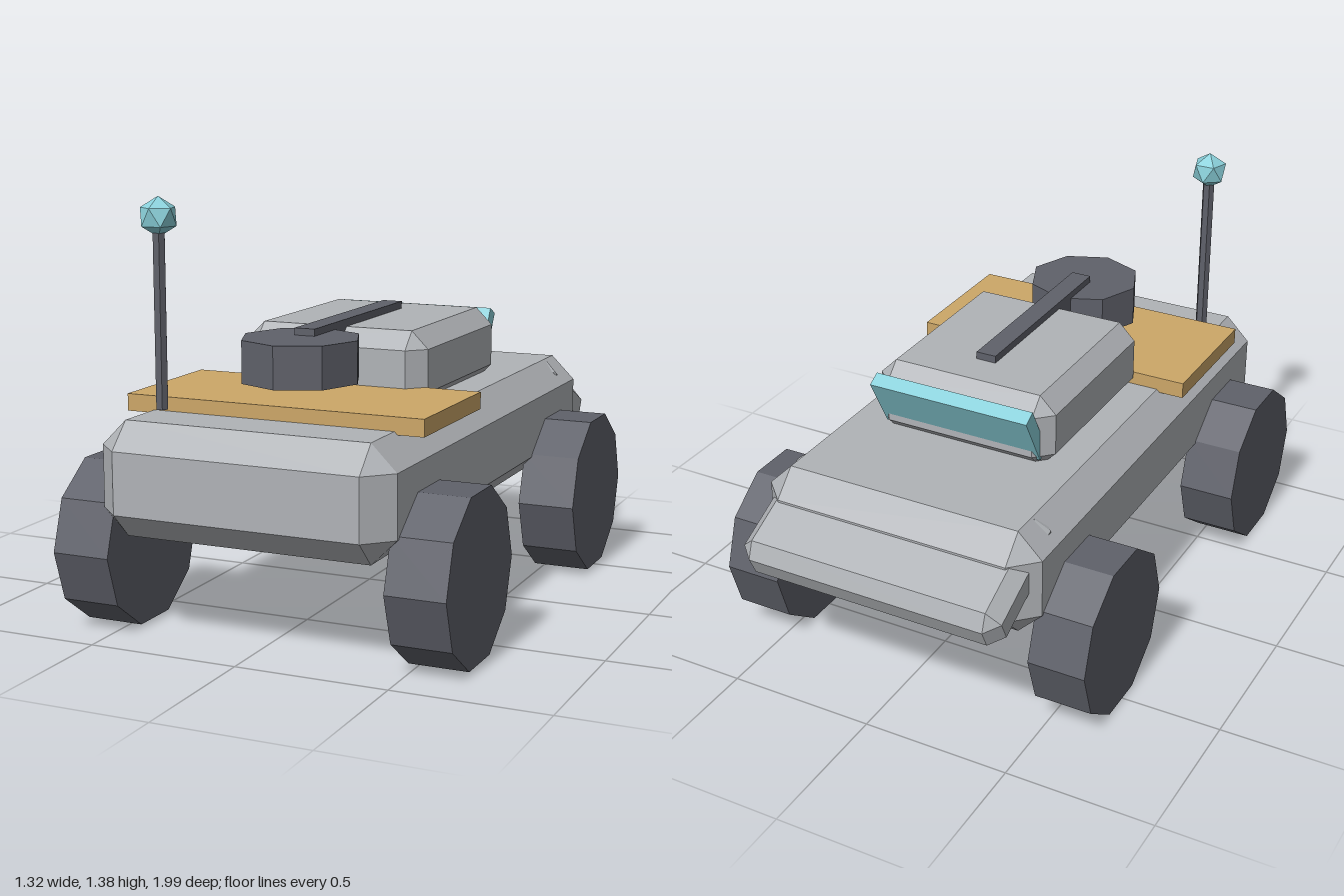
import * as THREE from 'three';
import { ConvexGeometry } from 'three/addons/geometries/ConvexGeometry.js';

const flat = (name, color) => {
  const m = new THREE.MeshStandardMaterial({ color });
  m.name = name;
  m.flatShading = true;
  return m;
};

// Box with every edge cut at 45 degrees
function chamferBox(w, h, d, c) {
  const half = [w / 2, h / 2, d / 2];
  const points = [];
  for (const sx of [-1, 1]) for (const sy of [-1, 1]) for (const sz of [-1, 1]) {
    for (let axis = 0; axis < 3; axis++) {
      const p = half.map((v, i) => (i === axis ? v : v - c));
      points.push(new THREE.Vector3(sx * p[0], sy * p[1], sz * p[2]));
    }
  }
  return new ConvexGeometry(points);
}

export function createModel() {
  const model = new THREE.Group();
  model.name = 'rover';

  const hullGrey = flat('hull grey', 0xb0b3b7);
  const darkGrey = flat('dark grey', 0x5f616a);
  const tan = flat('deck tan', 0xcca768);
  const teal = flat('glass teal', 0x8ad0da);

  const add = (name, geometry, material, x, y, z) => {
    const mesh = new THREE.Mesh(geometry, material);
    mesh.name = name;
    mesh.position.set(x, y, z);
    model.add(mesh);
    return mesh;
  };

  // Hull, cabin and the sloped tail plate
  add('hull', chamferBox(0.985, 0.365, 1.83, 0.083), hullGrey, 0, 0.5225, 0.085);
  add('cabin', chamferBox(0.644, 0.255, 0.705, 0.057), hullGrey, 0, 0.8025, -0.031);
  const tail = add('tailPlate', chamferBox(0.925, 0.158, 0.44, 0.045), hullGrey, 0, 0.552, -0.778);
  tail.rotation.x = -0.45;

  // Tilted window at the back of the cabin
  const rearWindow = add('window', new THREE.BoxGeometry(0.57, 0.2, 0.05), teal, 0, 0.8175, -0.389);
  rearWindow.rotation.x = -0.5;

  // Cargo deck
  add('deck', new THREE.BoxGeometry(1.01, 0.055, 0.475), tan, 0, 0.7225, 0.508);

  // Turret drum and the long bar on top of it
  add('turret', new THREE.CylinderGeometry(0.195, 0.195, 0.137, 8), darkGrey, 0, 0.8635, 0.533);
  add('turretBar', new THREE.BoxGeometry(0.07, 0.07, 0.705), darkGrey, 0, 0.92, 0.154);

  // Antenna mast and its faceted tip
  const mast = add('antennaMast', new THREE.CylinderGeometry(0.021, 0.021, 0.56, 6), darkGrey, -0.354, 1.0, 0.79);
  mast.rotation.y = Math.PI / 6;
  const tip = add('antennaTip', new THREE.IcosahedronGeometry(0.063), teal, -0.354, 1.317, 0.79);
  tip.rotation.x = -1.017;

  // Four ten-sided wheels
  const wheelGeometry = new THREE.CylinderGeometry(0.28, 0.28, 0.195, 10).rotateZ(Math.PI / 2);
  for (const [end, z] of [['front', 0.675], ['rear', -0.51]]) {
    for (const [side, s] of [['Left', 1], ['Right', -1]]) {
      add(`${end}${side}Wheel`, wheelGeometry, darkGrey, s * 0.5625, 0.2665, z);
    }
  }
  return model;
}
